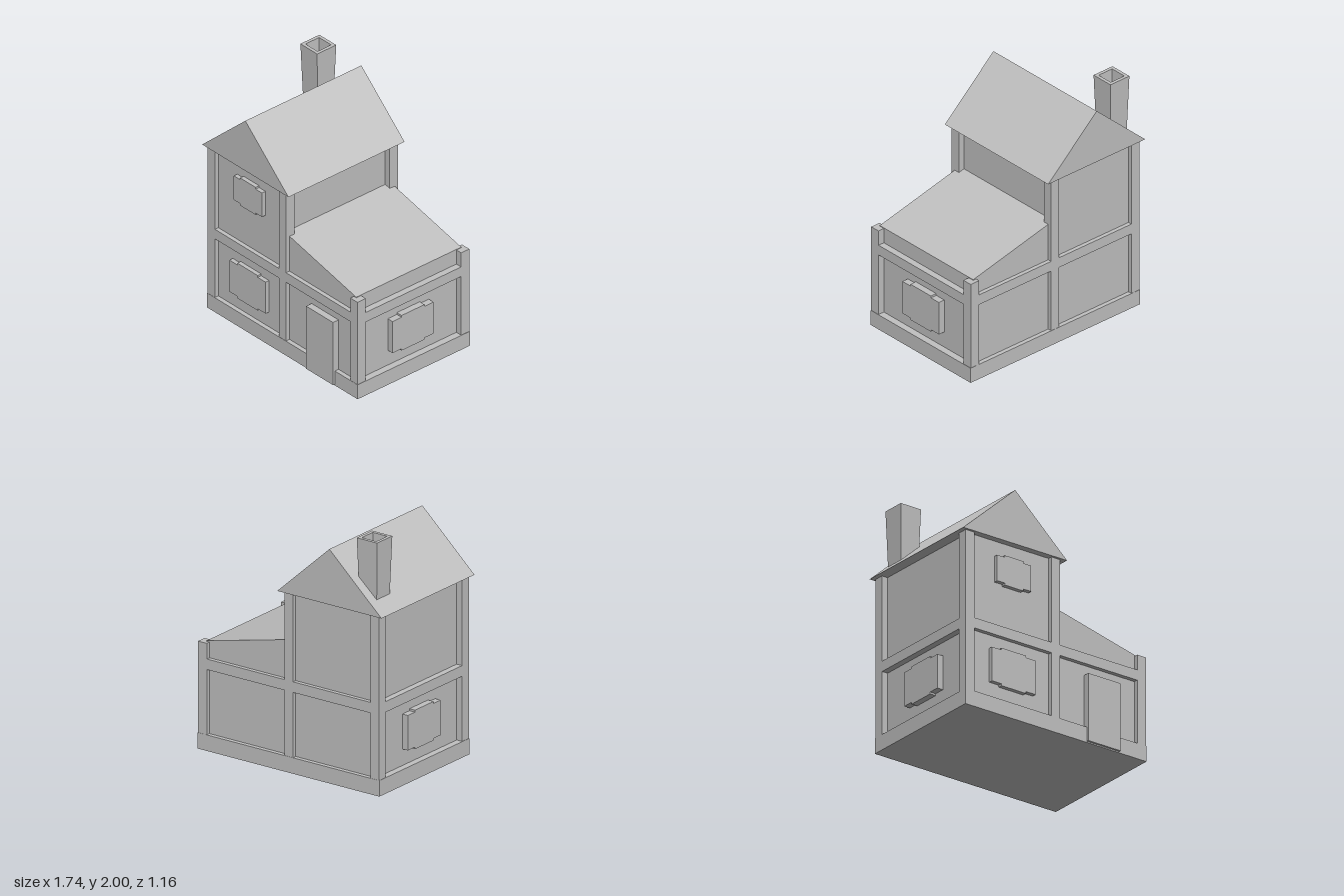
import * as THREE from 'three';

export function createModel() {
  const house = new THREE.Group();
  house.name = 'house';
  const grey = new THREE.MeshStandardMaterial({ color: 0xc0c0c0 });
  grey.name = 'plain grey';

  const add = (name, geometry, parent = house) => {
    const mesh = new THREE.Mesh(geometry, grey);
    mesh.name = name;
    parent.add(mesh);
    return mesh;
  };
  // Box given by its lower and upper corners
  const block = (name, x0, x1, y0, y1, z0, z1) =>
    add(name, new THREE.BoxGeometry(x1 - x0, y1 - y0, z1 - z0))
      .position.set((x0 + x1) / 2, (y0 + y1) / 2, (z0 + z1) / 2);
  // Outline in x and y, extruded evenly about z = 0
  const prism = (points, depth) => {
    const shape = new THREE.Shape(points.map(([x, y]) => new THREE.Vector2(x, y)));
    return new THREE.ExtrudeGeometry(shape, { depth, bevelEnabled: false }).translate(0, 0, -depth / 2);
  };

  // Recessed walls: tower with the sloping side wing
  add('walls', prism([
    [-0.78, 0.05], [0.81, 0.05], [0.81, 0.865], [0.005, 1.057], [0.005, 1.45], [-0.78, 1.45],
  ], 1.05));

  // Timber frame
  block('base', -0.835, 0.867, 0, 0.128, -0.56, 0.562);
  block('middleBeam', -0.832, 0.864, 0.65, 0.735, -0.558, 0.56);
  for (const side of [-1, 1]) {
    const z0 = side > 0 ? 0.478 : -0.558;
    const z1 = side > 0 ? 0.56 : -0.476;
    block('outerPost', -0.832, -0.75, 0.1, 1.45, z0, z1);
    block('middlePost', -0.025, 0.056, 0.1, 1.45, z0, z1);
    block('wingPost', 0.782, 0.864, 0.1, 0.86, z0, z1);
  }

  // Gabled roof
  add('roof', prism([[-0.87, 1.44], [0.106, 1.44], [-0.382, 1.885]], 1.16));

  // Tapered square chimney with a hollow top
  const profile = [[0.079, 1.46], [0.095, 2], [0.068, 2], [0.056, 1.7], [0, 1.7]]
    .map(([half, y]) => new THREE.Vector2(half * Math.SQRT2, y));
  const flue = new THREE.LatheGeometry(profile, 4, Math.PI / 4).toNonIndexed();
  flue.computeVertexNormals();
  add('chimney', flue).position.set(-0.68, 0, -0.413);

  // Windows: plates whose middle rises above and below the sides
  const windowPlate = (name, w, h, mid, step, depth, x, y, z, turn) => {
    const a = w / 2, b = h / 2, m = mid / 2, s = b - step;
    const mesh = add(name, prism([
      [-a, -s], [-m, -s], [-m, -b], [m, -b], [m, -s], [a, -s],
      [a, s], [m, s], [m, b], [-m, b], [-m, s], [-a, s],
    ], depth));
    mesh.position.set(x, y, z);
    mesh.rotation.y = turn;
  };
  windowPlate('upperFrontWindow', 0.32, 0.245, 0.175, 0.016, 0.06, -0.376, 1.207, 0.53, 0);
  windowPlate('lowerFrontWindow', 0.41, 0.312, 0.23, 0.016, 0.06, -0.38, 0.4, 0.53, 0);
  windowPlate('rightWindow', 0.41, 0.312, 0.23, 0.016, 0.07, 0.829, 0.4, 0.005, Math.PI / 2);
  windowPlate('leftWindow', 0.41, 0.312, 0.23, 0.016, 0.07, -0.797, 0.4, 0.005, -Math.PI / 2);

  // Front door
  block('door', 0.306, 0.61, 0.01, 0.567, 0.5, 0.58);

  return house;
}
